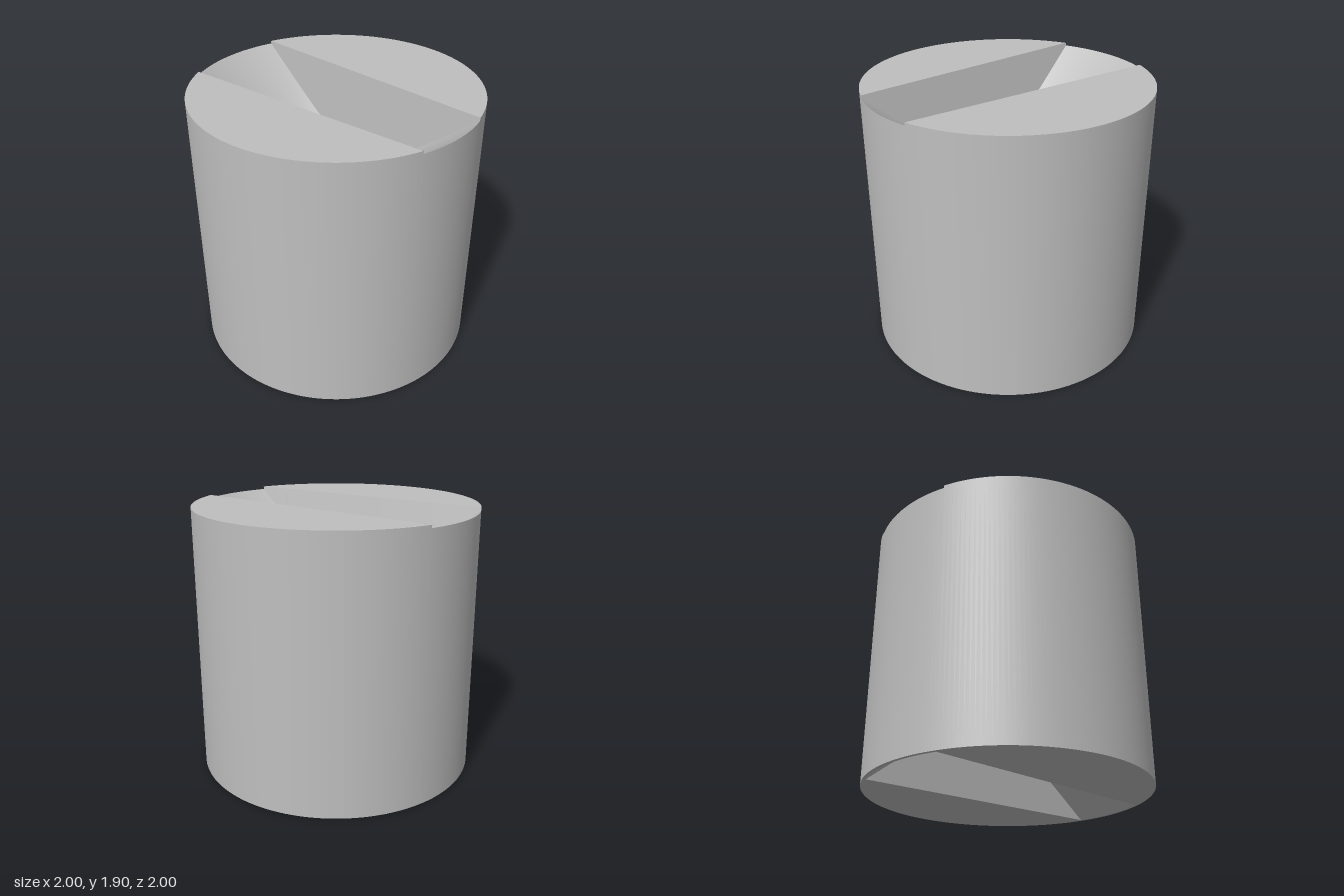
import * as THREE from 'three';

const HEIGHT = 1.905;
const CORE = 0.235;   // radius of the flat floor inside the funnel
const SLOPE = 0.84;   // funnel depth per unit of radius

// Slot walls: horizontal direction (nx, nz), distance of the lip, inward tilt
const skew = Math.hypot(0.0947, 1);
const WALLS = {
  front: { nx: 0, nz: 1, c: 0.375, t: 0.195 },
  back: { nx: 0.0947 / skew, nz: -1 / skew, c: 0.293 / skew, t: 0.045 },
};

export function createModel() {
  const group = new THREE.Group();
  const steel = new THREE.MeshStandardMaterial({ color: 0xbfbfbf, side: THREE.DoubleSide });
  steel.name = 'light grey';

  // Surface between two rows of points
  function strip(name, a, b, flip = false) {
    const n = a.length, index = [];
    for (let i = 0; i < n - 1; i++) {
      const tris = [[i, i + 1, n + i], [n + i, i + 1, n + i + 1]];
      for (const [p, q, r] of tris) index.push(...(flip ? [p, r, q] : [p, q, r]));
    }
    const g = new THREE.BufferGeometry().setFromPoints([...a, ...b]);
    g.setIndex(index);
    g.computeVertexNormals();
    const mesh = new THREE.Mesh(g, steel);
    mesh.name = name;
    group.add(mesh);
  }

  // One slotted end; rimDrop is the funnel's depth at the outer radius
  function slottedEnd(label, rimDrop, flip) {
    const d0 = rimDrop + SLOPE;
    const rMax = Math.min(1, d0 / SLOPE);
    const point = (r, a, depth) => new THREE.Vector3(
      r * Math.cos(a), flip ? depth : HEIGHT - depth, r * Math.sin(a));
    const depthAt = (r) => Math.max(0, d0 - SLOPE * r);
    const add = (name, a, b) => strip(label + name, a, b, flip);

    // Angular range in which each wall cuts the funnel
    const range = (w) => {
      const half = Math.acos((w.c - w.t * d0) / rMax + w.t * SLOPE);
      const mid = Math.atan2(w.nz, w.nx);
      return [mid - half, mid + half];
    };
    const f = range(WALLS.front), k = range(WALLS.back);
    const sectors = [
      { name: 'BackWall', from: k[0], to: k[1], wall: WALLS.back },
      { name: 'RightEnd', from: k[1], to: f[0] },
      { name: 'FrontWall', from: f[0], to: f[1], wall: WALLS.front },
      { name: 'LeftEnd', from: f[1], to: k[0] + 2 * Math.PI },
    ];

    const inner = [], edge = [], rim = [];
    for (const s of sectors) {
      const steps = s.wall ? 72 : 28;
      const curve = [], lip = [], outer = [];
      for (let i = 0; i <= steps; i++) {
        const a = s.from + (s.to - s.from) * i / steps;
        let r = rMax;
        if (s.wall) {
          const { nx, nz, c, t } = s.wall;
          r = Math.min(rMax, (c - t * d0) / (nx * Math.cos(a) + nz * Math.sin(a) - t * SLOPE));
          // Follow the tilted wall up to its straight lip
          const d = depthAt(r), p = point(r, a, 0);
          p.x += nx * t * d;
          p.z += nz * t * d;
          const len = Math.hypot(p.x, p.z);
          if (len > 1) { p.x /= len; p.z /= len; }
          lip.push(p);
        }
        curve.push(point(r, a, depthAt(r)));
        outer.push(point(1, a, s.wall ? 0 : Math.max(0, rimDrop)));
        inner.push(point(CORE, a, depthAt(CORE)));
      }
      if (s.wall) {
        add(s.name, curve, lip);
        add(s.name + 'Land', lip, outer);
      } else if (rMax < 1) {
        add(s.name + 'Rim', curve, outer);
      }
      edge.push(...curve);
      rim.push(...outer);
    }
    add('Funnel', inner, edge);

    // Flat floor in the middle of the funnel
    const floor = new THREE.Mesh(new THREE.CircleGeometry(CORE, 96), steel);
    floor.name = label + 'Floor';
    floor.rotation.x = flip ? Math.PI / 2 : -Math.PI / 2;
    floor.position.y = flip ? depthAt(CORE) : HEIGHT - depthAt(CORE);
    group.add(floor);
    return rim;
  }

  const topRim = slottedEnd('top', 0.02, false);
  slottedEnd('bottom', -0.02, true);

  // Cylindrical side, notched where the top slot runs out
  strip('body', topRim, topRim.map((p) => new THREE.Vector3(p.x, 0, p.z)));
  return group;
}
